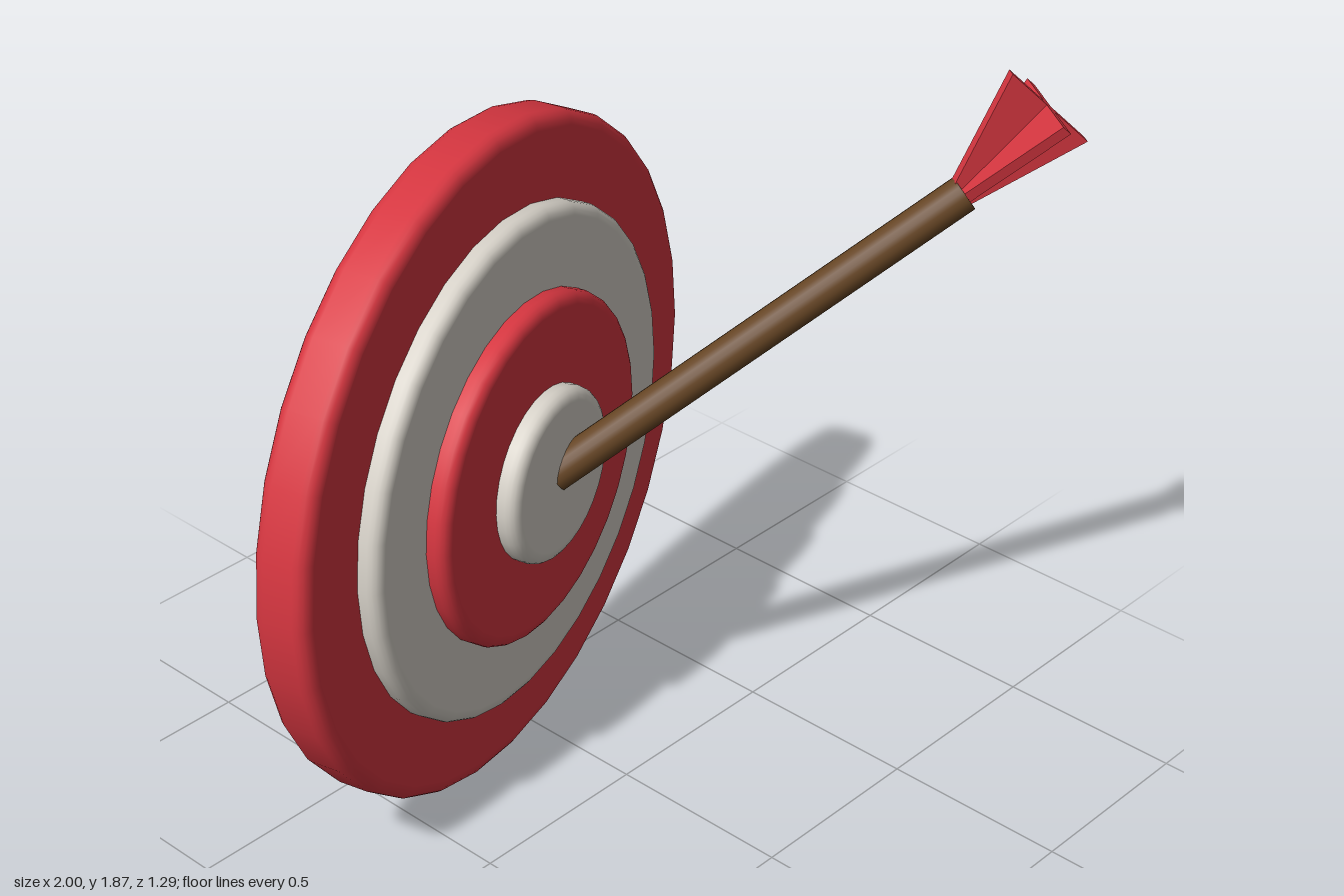
import * as THREE from 'three';

const mat = (name, color) => new THREE.MeshStandardMaterial({ name, color });

// Disc with rounded rims, its axis along z, from z = back to z = front
function discGeometry(radius, back, front, bevel) {
  const pts = [new THREE.Vector2(0, back), new THREE.Vector2(radius - bevel - 0.004, back)];
  for (const [cy, start] of [[back + bevel, -Math.PI / 2], [front - bevel, 0]]) {
    for (let i = 0; i <= 4; i++) {
      const a = start + (i / 4) * Math.PI / 2;
      pts.push(new THREE.Vector2(radius - bevel + bevel * Math.cos(a), cy + bevel * Math.sin(a)));
    }
  }
  pts.push(new THREE.Vector2(radius - bevel - 0.004, front), new THREE.Vector2(0, front));
  return new THREE.LatheGeometry(pts, 32).rotateX(Math.PI / 2);
}

export function createModel() {
  const red = mat('red', 0xd63640);
  const white = mat('offWhite', 0xd6d1c8);
  const brown = mat('brownWood', 0x664524);
  const model = new THREE.Group();
  const add = (parent, name, geometry, material) => {
    const mesh = new THREE.Mesh(geometry, material);
    mesh.name = name;
    parent.add(mesh);
    return mesh;
  };

  // Target: stacked discs turned slightly to the model's left
  const target = new THREE.Group();
  target.name = 'target';
  target.position.set(-0.132, 0.887, -0.37);
  target.rotation.y = 0.235;
  model.add(target);
  add(target, 'outerDisc', discGeometry(0.887, -0.075, 0.075, 0.035), red);
  add(target, 'whiteRing', discGeometry(0.67, 0.03, 0.13, 0.03), white);
  add(target, 'redRing', discGeometry(0.46, 0.08, 0.183, 0.03), red);
  add(target, 'bullseye', discGeometry(0.23, 0.13, 0.236, 0.03), white);

  // Arrow shaft, its tip buried in the bullseye
  const tip = new THREE.Vector3(-0.08, 0.885, -0.172);
  const end = new THREE.Vector3(0.75, 1.557, 0.415);
  const along = end.clone().sub(tip);
  const shaft = add(model, 'arrowShaft',
    new THREE.CylinderGeometry(0.047, 0.047, along.length(), 20), brown);
  shaft.position.copy(tip).add(end).multiplyScalar(0.5);
  shaft.quaternion.setFromUnitVectors(new THREE.Vector3(0, 1, 0), along.normalize());

  // Fletching: two crossed plates that widen to the rear
  const base = new THREE.Vector3(0.735, 1.548, 0.405);
  const rear = new THREE.Vector3(0.91, 1.77, 0.53);
  const axis = rear.clone().sub(base);
  const length = axis.length();
  axis.normalize();
  const side = new THREE.Vector3(axis.z, 0, -axis.x).normalize();
  const up = side.clone().cross(axis);
  const fletching = new THREE.Group();
  fletching.name = 'fletching';
  fletching.position.copy(base);
  fletching.quaternion.setFromRotationMatrix(new THREE.Matrix4().makeBasis(side, axis, up));
  model.add(fletching);
  const outline = new THREE.Shape([[-0.03, 0], [0.03, 0], [0.14, length], [-0.14, length]]
    .map(([x, y]) => new THREE.Vector2(x, y)));
  const thick = 0.028;
  const fin = new THREE.ExtrudeGeometry(outline, { depth: thick, bevelEnabled: false })
    .translate(0, 0, -thick / 2);
  add(fletching, 'sideFins', fin, red);
  add(fletching, 'uprightFins', fin, red).rotation.y = Math.PI / 2;

  return model;
}
